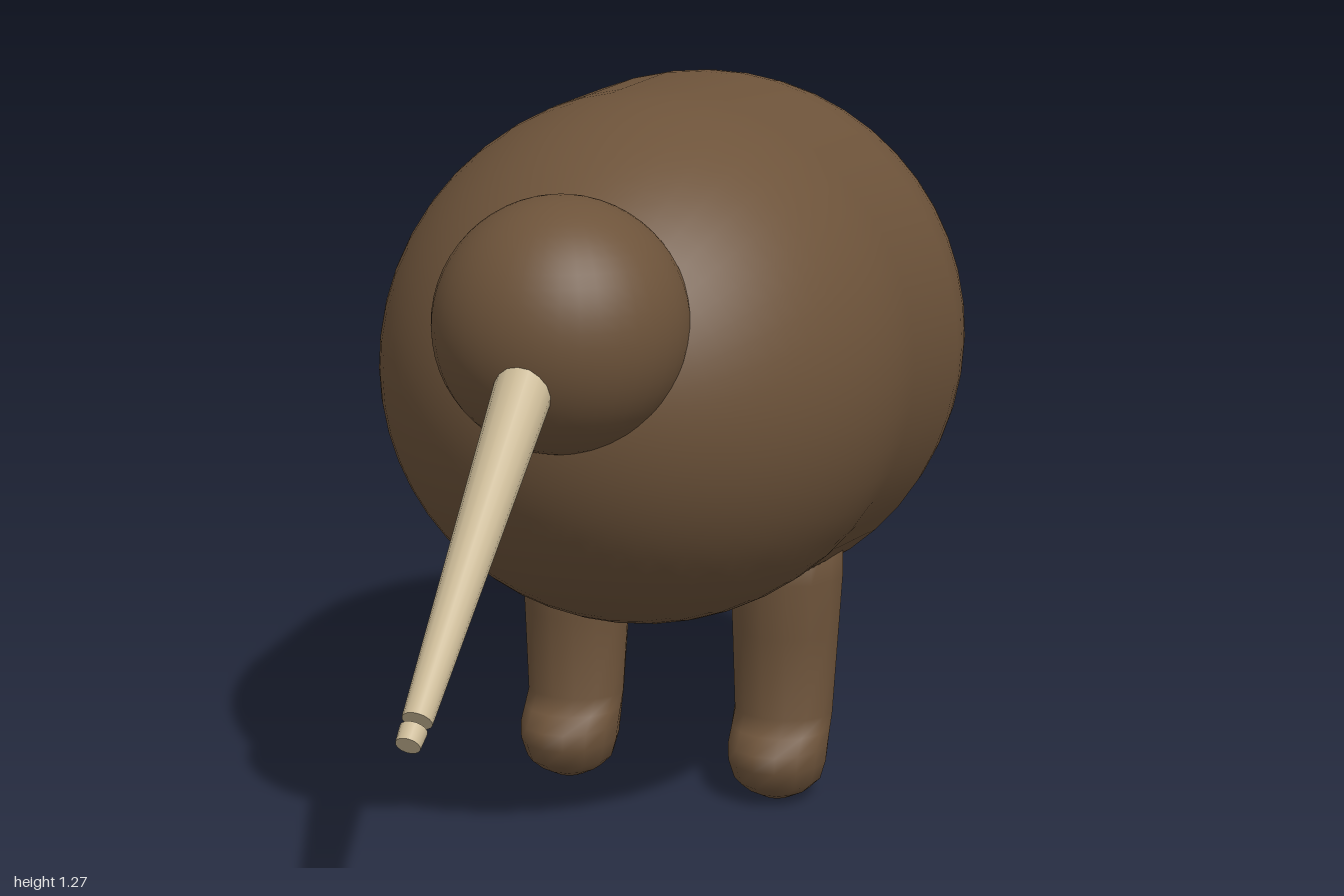
import * as THREE from 'three';

const brown = new THREE.MeshStandardMaterial({ color: 0x6d533a });
brown.name = 'brown plumage';
const ivory = new THREE.MeshStandardMaterial({ color: 0xcbba97 });
ivory.name = 'ivory beak';

// Closed smooth skin through ascending elliptical rings: [height, z centre, x radius, z radius]
function loft(rings, sides) {
  const positions = [], index = [];
  const first = rings[0], last = rings[rings.length - 1];
  for (const [h, c, rx, rz] of rings) {
    for (let j = 0; j < sides; j++) {
      const a = (j / sides) * Math.PI * 2;
      positions.push(rx * Math.cos(a), h, c + rz * Math.sin(a));
    }
  }
  const bottom = rings.length * sides, top = bottom + 1;
  positions.push(0, first[0], first[1], 0, last[0], last[1]);
  for (let j = 0; j < sides; j++) {
    const k = (j + 1) % sides;
    for (let i = 0; i < rings.length - 1; i++) {
      const a = i * sides + j, b = i * sides + k;
      index.push(a, a + sides, b, b, a + sides, b + sides);
    }
    const t = (rings.length - 1) * sides;
    index.push(bottom, j, k, top, t + k, t + j);
  }
  const geometry = new THREE.BufferGeometry();
  geometry.setAttribute('position', new THREE.Float32BufferAttribute(positions, 3));
  geometry.setIndex(index);
  geometry.computeVertexNormals();
  return geometry;
}

function add(parent, name, geometry, material) {
  const mesh = new THREE.Mesh(geometry, material);
  mesh.name = name;
  parent.add(mesh);
  return mesh;
}

// Body: a large rear half-ellipsoid blended into a slightly smaller front one
function bodyGeometry() {
  const rings = [], steps = 20;
  for (let i = 0; i <= steps; i++) {
    const a = Math.max(0.01, (i / steps) * Math.PI / 2);
    const r = 0.472 * Math.sin(a);
    rings.push([-0.42 - 0.58 * Math.cos(a), -0.797, r, r]);
  }
  for (let i = 0; i <= steps; i++) {
    const a = Math.max(0.01, (1 - i / steps) * Math.PI / 2);
    const r = 0.452 * Math.sin(a);
    rings.push([-0.15 + 0.55 * Math.cos(a), -0.815, r, r]);
  }
  return loft(rings, 48).rotateX(Math.PI / 2);
}

// Tapered round segment between two points in the middle plane
function taper(parent, name, from, to, r0, r1) {
  const a = new THREE.Vector3(0, ...from), b = new THREE.Vector3(0, ...to);
  const dir = b.clone().sub(a);
  const mesh = add(parent, name, new THREE.CylinderGeometry(r1, r0, dir.length(), 16), ivory);
  mesh.position.copy(a).add(b).multiplyScalar(0.5);
  mesh.quaternion.setFromUnitVectors(new THREE.Vector3(0, 1, 0), dir.normalize());
}

export function createModel() {
  const model = new THREE.Group();
  model.name = 'flightless bird';

  add(model, 'body', bodyGeometry(), brown);
  add(model, 'head', new THREE.SphereGeometry(0.2, 40, 28), brown).position.set(0, 0.955, 0.337);

  // Long beak with a separate tip
  const beak = new THREE.Group();
  beak.name = 'beak';
  model.add(beak);
  taper(beak, 'beakShaft', [0.94, 0.45], [0.518, 0.953], 0.048, 0.022);
  taper(beak, 'beakTip', [0.51, 0.966], [0.494, 0.988], 0.02, 0.018);

  // Stout legs, each with a rounded foot bulging forward
  const legGeometry = loft([
    [0, -0.275, 0.03, 0.035],
    [0.015, -0.275, 0.058, 0.065],
    [0.035, -0.274, 0.078, 0.092],
    [0.07, -0.272, 0.088, 0.105],
    [0.1, -0.276, 0.09, 0.108],
    [0.125, -0.292, 0.09, 0.092],
    [0.15, -0.308, 0.09, 0.077],
    [0.3, -0.315, 0.097, 0.09],
    [0.4, -0.318, 0.102, 0.098],
    [0.5, -0.32, 0.1, 0.098],
  ], 14);
  for (const side of [1, -1]) {
    add(model, side > 0 ? 'leftLeg' : 'rightLeg', legGeometry, brown).position.x = side * 0.196;
  }
  return model;
}
